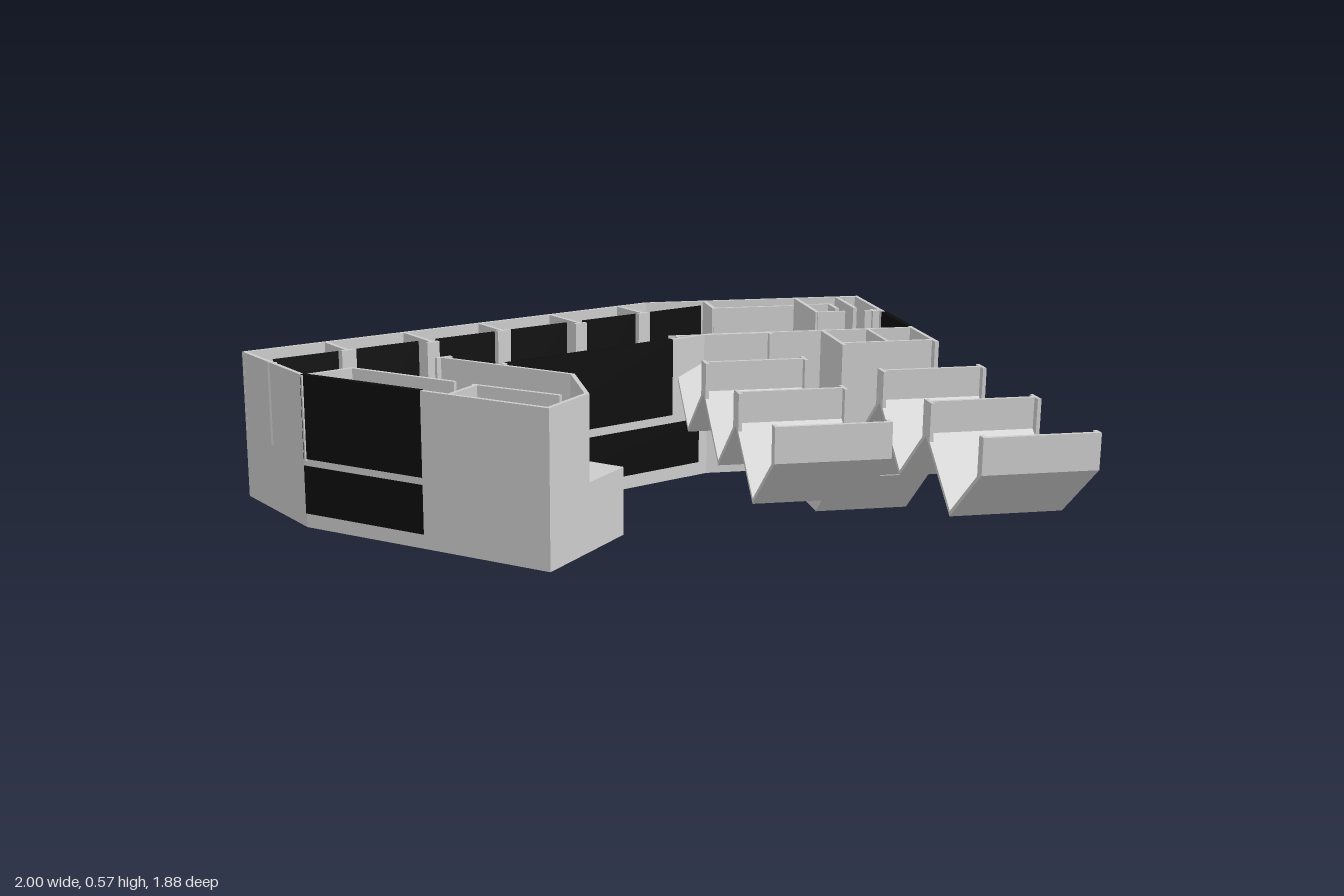
import * as THREE from 'three';

const T = 0.012;              // wall thickness
const BASE = 0.14, FLOOR = 0.33, TOP = 0.567;
const BACK = -0.944, FRONT = -0.38;

export function createModel() {
  const root = new THREE.Group();
  const grey = new THREE.MeshStandardMaterial({ color: 0xcccccc, flatShading: true });
  const black = new THREE.MeshStandardMaterial({ color: 0x0c0c0c, flatShading: true });

  const add = (name, geometry, material = grey) => {
    const mesh = new THREE.Mesh(geometry, material);
    mesh.name = name;
    root.add(mesh);
    return mesh;
  };

  // Vertical slab between two plan points [x, z]; shift moves it towards the inside of the outline
  const wall = (name, a, b, y0 = FLOOR, y1 = TOP, { t = T, shift = 0, mat = grey } = {}) => {
    const dx = b[0] - a[0], dz = b[1] - a[1], len = Math.hypot(dx, dz);
    const mesh = add(name, new THREE.BoxGeometry(len, y1 - y0, t), mat);
    mesh.rotation.y = Math.atan2(-dz, dx);
    mesh.position.set(
      (a[0] + b[0]) / 2 + (dz / len) * shift,
      (y0 + y1) / 2,
      (a[1] + b[1]) / 2 - (dx / len) * shift);
    return mesh;
  };
  const outer = (a, b, y0 = FLOOR) => wall('outerWall', a, b, y0, TOP, { shift: T / 2 });

  // Window covering part of an outline wall, from fraction f0 to f1
  const lerp = (a, b, f) => [a[0] + (b[0] - a[0]) * f, a[1] + (b[1] - a[1]) * f];
  const windowPane = (a, b, f0, f1, y0, y1) =>
    wall('window', lerp(a, b, f0), lerp(a, b, f1), y0, y1, { t: T + 0.006, shift: T / 2, mat: black });

  // Outline of [z, y] points extruded from x0 to x1
  const profile = (name, pts, x0, x1) => {
    const shape = new THREE.Shape(pts.map(p => new THREE.Vector2(...p)));
    const g = new THREE.ExtrudeGeometry(shape, { depth: x1 - x0, bevelEnabled: false });
    g.rotateY(-Math.PI / 2).translate(x1, 0, 0);
    return add(name, g);
  };

  // Lower storey on the bent plan
  const A = [-1, -0.37], B = [-0.84, -0.03], C = [-0.24, 0.47], D = [0, 0.19], E = [-0.29, -0.07];
  const F = [0.36, FRONT], G = [0.71, FRONT], H = [0.71, BACK], I = [0.28, BACK];
  const plan = new THREE.Shape([A, B, C, D, E, F, G, H, I].map(([x, z]) => new THREE.Vector2(x, -z)));
  const lower = new THREE.ExtrudeGeometry(plan, { depth: FLOOR - BASE, bevelEnabled: false });
  add('lowerStorey', lower.rotateX(-Math.PI / 2).translate(0, BASE, 0));

  // Deep corner block reaching the ground
  profile('cornerBlock', [[BACK, 0], [FRONT, 0], [FRONT, FLOOR], [BACK, FLOOR]], 0.71, 1);

  // Upper storey outline
  const K = [-0.115, 0.325], L = [-0.115, 0.085];
  outer(A, B);
  outer(B, C);
  outer(C, K);
  outer(K, L);
  outer(L, [-0.45, -0.2]);
  outer(E, F);
  outer(F, [1, FRONT]);
  outer([1, FRONT], [1, BACK]);
  outer([1, BACK], I);
  outer(I, A);

  // Windows on both storeys
  windowPane(B, C, 0, 0.5, 0.335, TOP + 0.001);
  windowPane(B, C, 0, 0.5, 0.18, 0.315);
  windowPane(E, F, 0.02, 0.815, 0.34, TOP + 0.001);
  windowPane(E, F, 0.02, 0.955, 0.18, 0.315);
  windowPane([1, -0.4], [1, -0.645], 0, 1, 0.335, TOP + 0.001);

  // Fins with T ends along the slanted back wall, with dark screens between them
  const backLen = Math.hypot(I[0] - A[0], I[1] - A[1]);
  const u = [(I[0] - A[0]) / backLen, (I[1] - A[1]) / backLen];
  const v = [-u[1], u[0]];
  const at = (s, d) => [A[0] + u[0] * s + v[0] * d, A[1] + u[1] * s + v[1] * d];
  const pitch = 0.258;
  for (let i = 0; i < 6; i++) {
    const s = 0.258 + i * pitch;
    if (i < 5) {
      const depth = i % 2 ? 0.18 : 0.148;
      wall('roomFin', at(s, 0.006), at(s, depth));
      wall('finEnd', at(s - 0.02, depth), at(s + 0.02, depth));
    }
    wall('roomScreen', at(s - pitch / 2 - 0.1, 0.148), at(s - pitch / 2 + 0.1, 0.148),
      FLOOR, TOP, { t: 0.003, mat: black });
  }

  // Partitions on the upper floor: x1, z1, x2, z2
  [
    [-0.84, -0.025, -0.7, -0.095], [-0.7, -0.095, -0.44, 0.125],
    [-0.4, 0.165, -0.19, 0.33], [-0.39, 0.175, -0.47, 0.27],
    [-0.465, -0.185, -0.42, -0.205], [-0.925, -0.215, -0.905, -0.2],
    [0.477, BACK, 0.477, -0.8], [0.477, -0.805, 0.74, -0.805],
    [0.785, BACK, 0.785, -0.68], [0.785, -0.68, 0.875, -0.68],
    [0.785, -0.815, 0.87, -0.815], [0.865, -0.815, 0.865, -0.73],
    [0.925, BACK, 0.925, -0.73], [0.94, -0.68, 1, -0.68], [0.968, -0.7, 0.968, -0.66],
    [0.95, -0.93, 0.985, -0.93],
  ].forEach(([x1, z1, x2, z2]) => wall('partition', [x1, z1], [x2, z2]));

  // Front bay standing on the long slope
  const bay = [[FRONT, 0], [-0.192, 0.162], [-0.16, 0.19], [-0.16, TOP], [FRONT, TOP]];
  profile('baySide', bay, 0.708, 0.72);
  profile('baySide', bay, 0.988, 1);
  profile('bayPartition', [[FRONT, 0.005], [-0.192, 0.165], [-0.192, TOP], [FRONT, TOP]], 0.85, 0.86);
  wall('bayFront', [0.715, -0.192], [0.995, -0.192], 0.16, TOP);

  // Folded ramps: [z, y] fold line, with raised parapets at the ridges
  const HIGH = 0.49, LOW = 0.335;
  const ramp = (x0, x1, line, ridges) => {
    const under = line.map(([z, y]) => [z, y - 0.014]).reverse();
    profile('foldedRamp', [...line, ...under], x0, x1);
    ridges.forEach(z => {
      const end = z === line[line.length - 1][0];
      const start = z === line[0][0];
      wall('ridgeParapet', [x0, end ? z - T / 2 : z], [x1, end ? z - T / 2 : z], HIGH - 0.012, TOP);
      const r = 0.027, drop = HIGH - 0.01 - r * 0.84;
      const back = start ? [[z, HIGH - 0.01]] : [[z - r, TOP], [z - r, drop], [z, HIGH - 0.01]];
      const fore = end ? [[z, TOP]] : [[z + r, drop], [z + r, TOP]];
      const outline = start ? [[z, TOP], ...back, ...fore] : [...back, ...fore];
      profile('parapetReturn', outline, x0, x0 + 0.01);
      profile('parapetReturn', outline, x1 - 0.01, x1);
    });
  };
  ramp(0.26, 0.552,
    [[-0.38, HIGH], [-0.19, LOW], [0, HIGH], [0.187, LOW], [0.373, HIGH], [0.56, LOW], [0.755, HIGH]],
    [-0.38, 0, 0.373, 0.755]);
  ramp(0.708, 1,
    [[-0.38, 0.014], [0.187, HIGH], [0.373, LOW], [0.56, HIGH], [0.75, LOW], [0.94, HIGH]],
    [0.187, 0.56, 0.94]);
  wall('rampHeader', [0.24, FRONT], [0.565, FRONT], FLOOR, TOP);

  return root;
}
